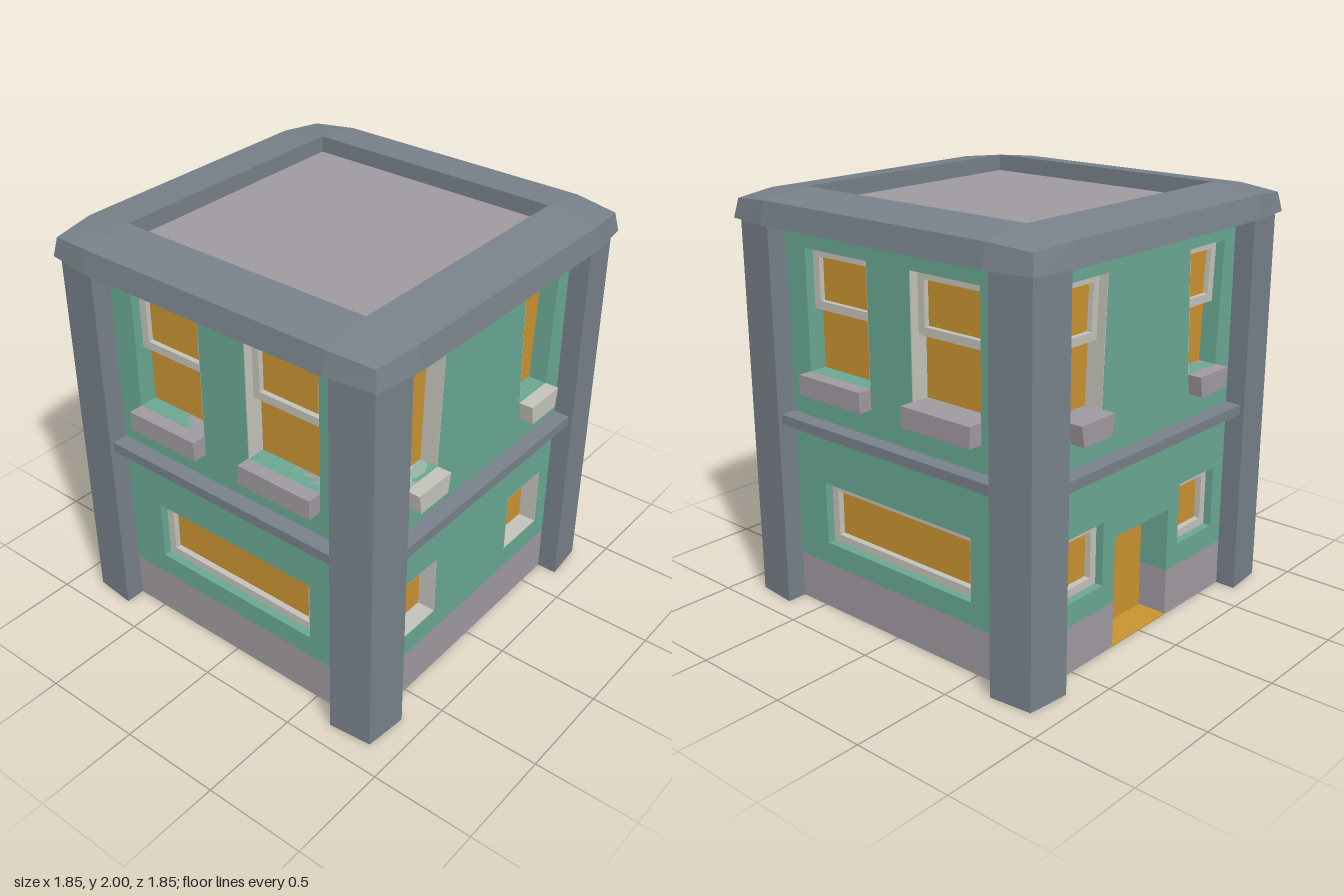
import * as THREE from 'three';

const paint = (color) => new THREE.MeshStandardMaterial({ color, flatShading: true, side: THREE.DoubleSide });
const MAT = {
  teal: paint(0x6aa893), stone: paint(0x78818a), plinth: paint(0xa09aa0),
  trim: paint(0xc4c3ba), glass: paint(0xcb9331),
};
const WALL = 0.79, BACK = 0.6, PANE = 0.7, HALF = 0.66;

// Window openings on the +x half: bottom/top heights, inner/outer edge at bottom and top
const TAPERED = { y0: 1.175, y1: 1.76, in0: 0.32, out0: 0.545, in1: 0.295, out1: 0.575 };
const TALL = { y0: 1.18, y1: 1.755, in0: 0.13, out0: 0.53, in1: 0.13, out1: 0.53 };
const SMALL = { y0: 0.34, y1: 0.645, in0: 0.29, out0: 0.575, in1: 0.29, out1: 0.575 };
const LONG = { y0: 0.34, y1: 0.645, in0: -0.463, out0: 0.463, in1: -0.463, out1: 0.463 };

const toPoints = (list) => list.map(([x, y]) => new THREE.Vector2(x, y));

// Four corners of an opening between two heights, mirrored by s and shrunk by inset
function quad(w, s = 1, inset = 0, lo = w.y0, hi = w.y1) {
  const edge = (a, b, y) => THREE.MathUtils.lerp(a, b, (y - w.y0) / (w.y1 - w.y0));
  const at = (y) => [edge(w.in0, w.in1, y) + inset, edge(w.out0, w.out1, y) - inset];
  const [a, b] = at(lo), [c, d] = at(hi);
  return [[s * a, lo + inset], [s * b, lo + inset], [s * d, hi - inset], [s * c, hi - inset]];
}

// Flat outline with holes, extruded from z0 to z1
function slab(name, outline, z0, z1, material, holes = []) {
  const shape = new THREE.Shape(toPoints(outline));
  holes.forEach((h) => shape.holes.push(new THREE.Path(toPoints(h))));
  const geo = new THREE.ExtrudeGeometry(shape, { depth: z1 - z0, bevelEnabled: false });
  geo.translate(0, 0, z0);
  const mesh = new THREE.Mesh(geo, material);
  mesh.name = name;
  return mesh;
}

function upperWindow(w, s, sash, sillMat) {
  const g = new THREE.Group();
  g.name = 'upperWindow';
  g.add(slab('pane', quad(w, s), PANE - 0.02, PANE, MAT.glass));
  // pale lining on the reveal nearest the middle of the wall
  const [a, , , d] = quad(w, s);
  const t = s * 0.004;
  g.add(slab('reveal', [a, [a[0] + t, a[1]], [d[0] + t, d[1]], d], PANE, WALL - 0.001, MAT.trim));
  if (sash) {
    const inner = quad(w, s, 0.04, 1.47, w.y1);
    g.add(slab('sashFrame', quad(w, s, 0, 1.47, w.y1), PANE, PANE + 0.045, MAT.trim, [inner]));
    g.add(slab('sashPane', inner, PANE, PANE + 0.02, MAT.glass));
  }
  // sill, narrowing downwards on the tapered windows
  const k = w === TAPERED ? 0.017 : 0;
  const y = w.y0 - 0.097;
  g.add(slab('sill', [[s * w.in0, w.y0], [s * w.out0, w.y0], [s * (w.out0 - k), y], [s * (w.in0 + k), y]],
    PANE, 0.86, sillMat));
  return g;
}

function lowerWindow(w, s, framed) {
  const g = new THREE.Group();
  g.name = 'lowerWindow';
  g.add(slab('pane', quad(w, s), PANE - 0.02, framed ? PANE + 0.02 : PANE, MAT.glass));
  if (framed) g.add(slab('frame', quad(w, s), PANE, PANE + 0.05, MAT.trim, [quad(w, s, 0.04)]));
  else g.add(slab('reveal', quad(w, s), PANE, WALL - 0.001, MAT.trim, [quad(w, s, 0.004)]));
  return g;
}

// One side of the building, facing +z before it is turned
function facade({ name, turn, upper, sash, sillMat, lower, framed, door }) {
  const g = new THREE.Group();
  g.name = name;
  const sides = [1, -1];
  const lowerSides = lower === LONG ? [1] : sides;
  const D = 0.205, top = 0.545, base = 0.23;
  const notch = (y0, y1) => (door ? [[D, y0], [D, y1], [-D, y1], [-D, y0]] : []);
  const rect = (y0, y1) => [[-HALF, y0], [-HALF, y1], [HALF, y1], [HALF, y0]];

  g.add(slab('upperWall', rect(0.935, 1.86), BACK, WALL, MAT.teal, sides.map((s) => quad(upper, s))));
  g.add(slab('lowerWall', [...rect(base, 0.935), ...notch(base, top)], BACK, WALL, MAT.teal,
    lowerSides.map((s) => quad(lower, s))));
  if (door) {
    sides.forEach((s) => g.add(slab('plinth',
      [[s * D, 0], [s * HALF, 0], [s * HALF, base], [s * D, base]], BACK, WALL, MAT.plinth)));
    g.add(slab('door', [[-D, 0], [D, 0], [D, top], [-D, top]], BACK, 0.64, MAT.glass));
    g.add(slab('doorstep', [[-D, 0], [D, 0], [D, 0.006], [-D, 0.006]], 0.64, WALL, MAT.glass));
  } else g.add(slab('plinth', rect(0, base), BACK, WALL, MAT.plinth));

  g.add(slab('floorBand', rect(0.912, 0.96), BACK, 0.87, MAT.stone));
  sides.forEach((s) => g.add(upperWindow(upper, s, sash, sillMat)));
  lowerSides.forEach((s) => g.add(lowerWindow(lower, s, framed)));
  g.rotation.y = turn;
  return g;
}

// Corner pillar with slightly splayed outer faces
function cornerPillar(turn) {
  const plan = [[0.66, -0.66], [0.66, -0.89], [0.87, -0.87], [0.89, -0.66]];
  const mesh = slab('cornerPillar', plan, 0, 1.87, MAT.stone);
  mesh.geometry.rotateX(-Math.PI / 2);
  mesh.rotation.y = turn;
  return mesh;
}

// Roof rim: loops of twelve points, three for each corner
function roofRim() {
  // [reach at the sides, height there, reach at the corners, height there]
  const loops = [
    [0.62, 1.86, 0.62, 1.86], [0.925, 1.86, 0.892, 1.86], [0.905, 1.968, 0.875, 1.95],
    [0.655, 2, 0.655, 2], [0.655, 1.915, 0.655, 1.915],
  ];
  const pos = [], index = [], N = 12;
  for (const [r, y, rc, yc] of loops) {
    const e = Math.min(r, HALF);
    for (let q = 0; q < 4; q++) {
      const a = q * Math.PI / 2;
      for (const [x, h, z] of [[e, y, r], [rc, yc, rc], [r, y, e]]) {
        // quarter turns about y, running from front to right
        pos.push(x * Math.cos(a) + z * Math.sin(a), h, z * Math.cos(a) - x * Math.sin(a));
      }
    }
  }
  for (let j = 0; j < loops.length - 1; j++) {
    for (let i = 0; i < N; i++) {
      const a = j * N + i, b = j * N + (i + 1) % N;
      index.push(a, b, b + N, a, b + N, a + N);
    }
  }
  const geo = new THREE.BufferGeometry();
  geo.setAttribute('position', new THREE.Float32BufferAttribute(pos, 3));
  geo.setIndex(index);
  const flat = geo.toNonIndexed();
  flat.computeVertexNormals();
  const mesh = new THREE.Mesh(flat, MAT.stone);
  mesh.name = 'roofRim';
  return mesh;
}

function plate(name, size, y, height) {
  const mesh = new THREE.Mesh(new THREE.BoxGeometry(size, height, size), MAT.plinth);
  mesh.name = name;
  mesh.position.y = y;
  return mesh;
}

export function createModel() {
  const model = new THREE.Group();
  model.name = 'house';
  const side = { upper: TALL, sash: true, sillMat: MAT.plinth, lower: LONG, framed: true };
  model.add(
    facade({ name: 'frontSide', turn: 0, upper: TAPERED, sash: false, sillMat: MAT.trim, lower: SMALL, framed: false }),
    facade({ name: 'backSide', turn: Math.PI, upper: TAPERED, sash: true, sillMat: MAT.plinth, lower: SMALL, framed: true, door: true }),
    facade({ name: 'leftSide', turn: Math.PI / 2, ...side }),
    facade({ name: 'rightSide', turn: -Math.PI / 2, ...side }),
  );
  for (let q = 0; q < 4; q++) model.add(cornerPillar(q * Math.PI / 2));
  model.add(roofRim());
  model.add(plate('roofDeck', 1.31, 1.9, 0.04));
  model.add(plate('groundFloor', 1.2, 0.01, 0.02));
  return model;
}
